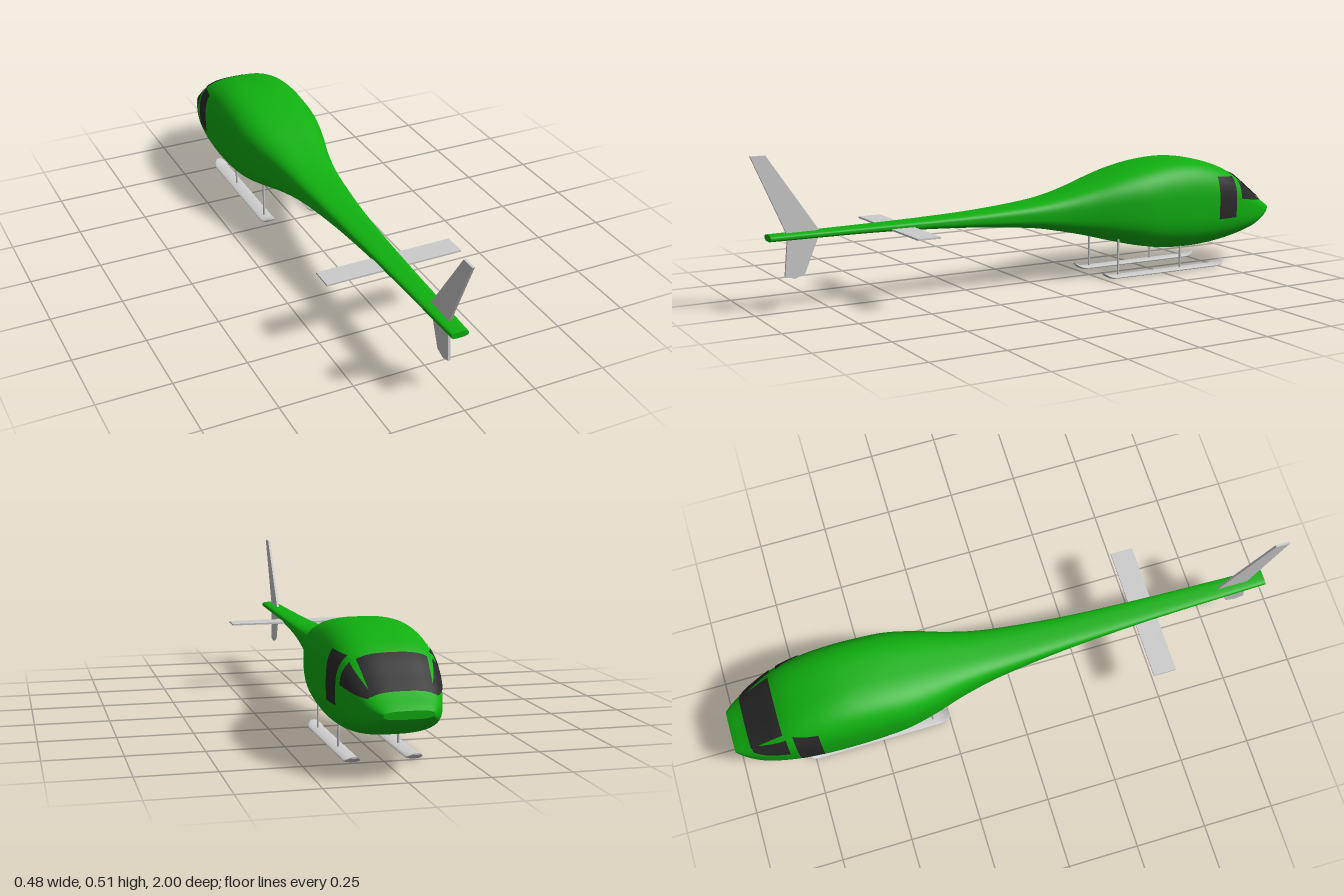
import * as THREE from 'three';

const green = new THREE.MeshStandardMaterial({ color: 0x10b010 });
const glass = new THREE.MeshStandardMaterial({ color: 0x2a2a2a, side: THREE.DoubleSide });
const grey = new THREE.MeshStandardMaterial({ color: 0xcccccc });

// Fuselage stations, nose to tail: [z, half width, top, bottom]
const stations = [
  [-1, 0.075, 0.21, 0.185], [-0.985, 0.088, 0.222, 0.168], [-0.95, 0.11, 0.245, 0.146],
  [-0.9, 0.132, 0.283, 0.123], [-0.8, 0.156, 0.357, 0.098], [-0.7, 0.166, 0.395, 0.084],
  [-0.6, 0.169, 0.41, 0.08], [-0.5, 0.168, 0.406, 0.087], [-0.4, 0.163, 0.39, 0.105],
  [-0.3, 0.143, 0.365, 0.13], [-0.2, 0.115, 0.335, 0.157], [-0.1, 0.093, 0.309, 0.18],
  [0, 0.079, 0.292, 0.199], [0.2, 0.059, 0.275, 0.219], [0.4, 0.047, 0.267, 0.231],
  [0.6, 0.039, 0.263, 0.237], [0.95, 0.03, 0.259, 0.238],
];
const N = 3; // superellipse exponent of the cross-sections

// Smooth (Hermite) interpolation of the stations at any z
function section(z) {
  const last = stations.length - 1;
  let i = 0;
  while (i < last - 1 && z > stations[i + 1][0]) i++;
  const slope = (k, c) => {
    const a = stations[Math.max(k - 1, 0)], b = stations[Math.min(k + 1, last)];
    return (b[c] - a[c]) / (b[0] - a[0]);
  };
  const p = stations[i], q = stations[i + 1], d = q[0] - p[0];
  const t = THREE.MathUtils.clamp((z - p[0]) / d, 0, 1), t2 = t * t, t3 = t2 * t;
  const value = (c) => (2 * t3 - 3 * t2 + 1) * p[c] + (t3 - 2 * t2 + t) * d * slope(i, c)
    + (3 * t2 - 2 * t3) * q[c] + (t3 - t2) * d * slope(i + 1, c);
  const top = value(2), bottom = value(3);
  return { w: value(1), mid: (top + bottom) / 2, h: (top - bottom) / 2 };
}

const arc = (r) => Math.pow(1 - Math.pow(Math.min(Math.abs(r), 0.97), N), 1 / N);

function geometryFrom(positions, index) {
  const g = new THREE.BufferGeometry();
  g.setAttribute('position', new THREE.Float32BufferAttribute(positions, 3));
  g.setIndex(index);
  g.computeVertexNormals();
  return g;
}

// Lofted body with flat end caps
function fuselageGeometry() {
  const rings = 130, sides = 64, pos = [], idx = [];
  const ring = (z) => {
    const s = section(z);
    for (let j = 0; j < sides; j++) {
      const a = (j / sides) * Math.PI * 2, c = Math.cos(a), n = Math.sin(a);
      pos.push(s.w * Math.sign(c) * Math.abs(c) ** (2 / N), s.mid + s.h * Math.sign(n) * Math.abs(n) ** (2 / N), z);
    }
  };
  for (let i = 0; i <= rings; i++) ring(-1 + 1.95 * (i / rings));
  for (let i = 0; i < rings; i++) for (let j = 0; j < sides; j++) {
    const k = (j + 1) % sides, a = i * sides + j, b = i * sides + k;
    idx.push(a, b, b + sides, a, b + sides, a + sides);
  }
  for (const z of [-1, 0.95]) {
    const start = pos.length / 3;
    ring(z);
    pos.push(0, section(z).mid, z);
    for (let j = 0; j < sides; j++) {
      const a = start + j, b = start + (j + 1) % sides;
      idx.push(start + sides, z > 0 ? a : b, z > 0 ? b : a);
    }
  }
  return geometryFrom(pos, idx);
}

// Window patch: a quad of four 2D corners laid on the body by a mapping
function windowGeometry([a, b, c, d], place) {
  const n = 14, pos = [], idx = [];
  const mix = THREE.MathUtils.lerp;
  for (let i = 0; i <= n; i++) for (let j = 0; j <= n; j++) {
    const u = i / n, v = j / n;
    pos.push(...place(mix(mix(a[0], b[0], u), mix(d[0], c[0], u), v), mix(mix(a[1], b[1], u), mix(d[1], c[1], u), v)));
    if (i < n && j < n) {
      const k = i * (n + 1) + j;
      idx.push(k, k + 1, k + n + 2, k, k + n + 2, k + n + 1);
    }
  }
  return geometryFrom(pos, idx);
}

// Flat plate from an outline
function plate(points, depth) {
  const shape = new THREE.Shape(points.map(([x, y]) => new THREE.Vector2(x, y)));
  return new THREE.ExtrudeGeometry(shape, { depth, bevelEnabled: false }).translate(0, 0, -depth / 2);
}

// Slim runner: flattened oval section, rounded and turned up at both ends
function skidGeometry() {
  const g = new THREE.CylinderGeometry(1, 1, 2, 20, 40).rotateX(Math.PI / 2);
  const p = g.attributes.position;
  for (let i = 0; i < p.count; i++) {
    const t = p.getZ(i), end = Math.max(0, (Math.abs(t) - 0.84) / 0.16);
    const taper = Math.sqrt(1 - 0.8 * end ** 3);
    p.setXYZ(i, p.getX(i) * 0.026 * taper, 0.008 + p.getY(i) * 0.006 * taper + 0.016 * end * end, -0.51 + t * 0.262);
  }
  g.computeVertexNormals();
  return g;
}

export function createModel() {
  const group = new THREE.Group();
  const add = (name, geometry, material) => {
    const mesh = new THREE.Mesh(geometry, material);
    mesh.name = name;
    group.add(mesh);
    return mesh;
  };

  add('fuselage', fuselageGeometry(), green);

  // Windscreen over the nose
  add('windscreen', windowGeometry([[-0.108, -0.82], [0.108, -0.82], [0.094, -0.94], [-0.094, -0.94]], (x, z) => {
    const s = section(z);
    return [x, s.mid + s.h * arc(x / s.w) + 0.003, z - 0.002];
  }), glass);

  // Side windows, struts and skids, mirrored
  for (const side of [1, -1]) {
    const label = side > 0 ? 'left' : 'right';
    const onSide = (z, y) => {
      const s = section(z);
      return [side * (s.w * arc((y - s.mid) / s.h) + 0.003), y, z];
    };
    add(label + 'DoorWindow', windowGeometry([[-0.705, 0.19], [-0.787, 0.19], [-0.79, 0.338], [-0.705, 0.346]], onSide), glass);
    add(label + 'QuarterWindow', windowGeometry([[-0.815, 0.256], [-0.938, 0.236], [-0.938, 0.246], [-0.815, 0.322]], onSide), glass);

    add(label + 'Skid', skidGeometry(), grey).position.x = side * 0.097;
    for (const [z, top] of [[-0.31, 0.145], [-0.58, 0.125]]) {
      const strut = add(label + 'SkidStrut', new THREE.CylinderGeometry(0.004, 0.004, top - 0.008, 12), grey);
      strut.position.set(side * 0.097, (top + 0.008) / 2, z);
    }
  }

  // Tail surfaces
  add('tailplane', new THREE.BoxGeometry(0.482, 0.006, 0.08), grey).position.set(0, 0.244, 0.5);
  const fin = [[1, 0.512], [0.95, 0.512], [0.775, 0.255], [0.83, 0.122], [0.865, 0.109], [0.897, 0.119], [0.885, 0.25]];
  add('tailFin', plate(fin.map(([z, y]) => [-z, y]), 0.008).rotateY(Math.PI / 2), grey);

  return group;
}
